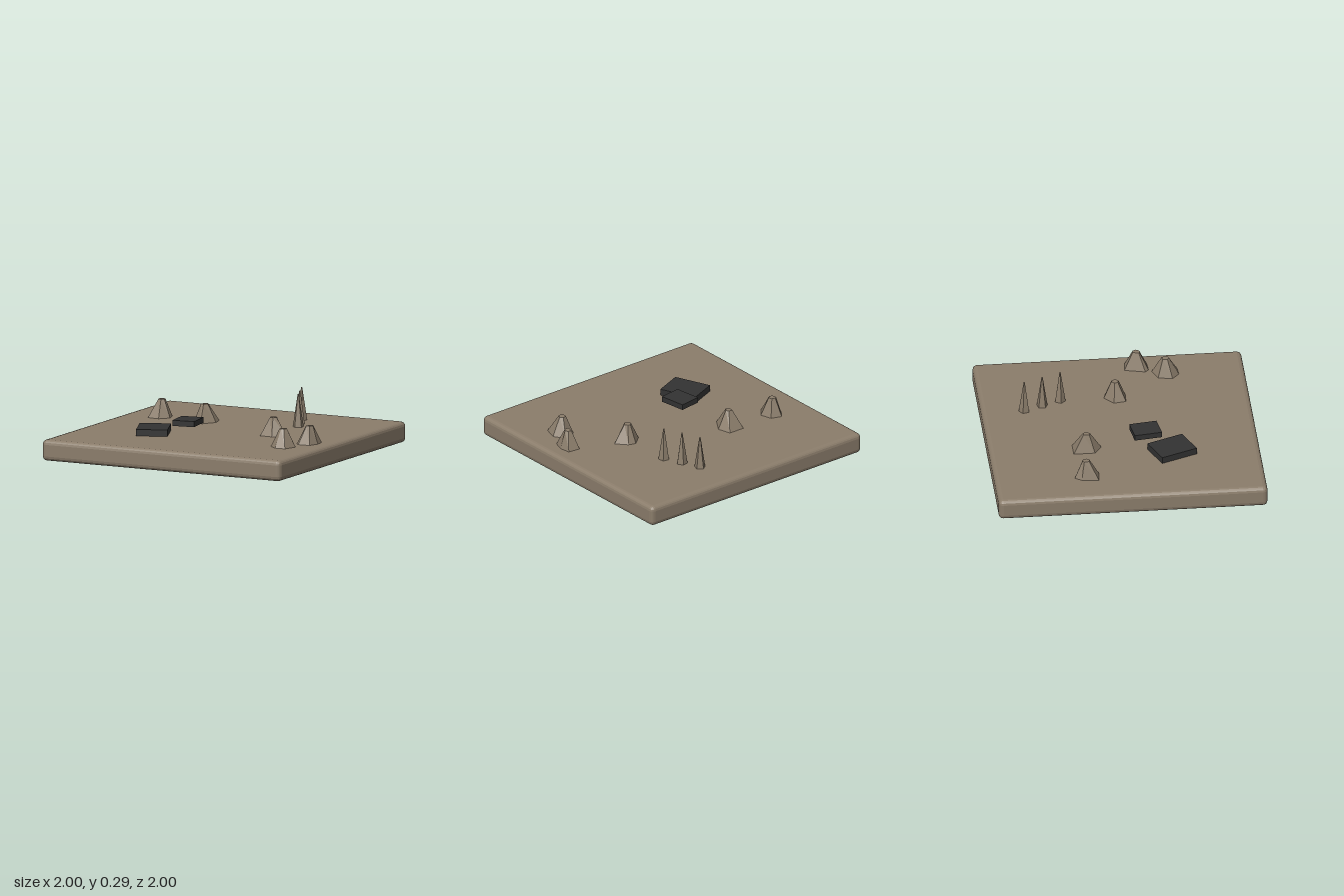
import * as THREE from 'three';
import { RoundedBoxGeometry } from 'three/addons/geometries/RoundedBoxGeometry.js';

const GROUND = 0.112;

// Flat-shaded frustum: uneven footprint [x, z] tapering to a small ring round the peak
function ventGeometry(peak, footprint, height, topRadius) {
  const n = footprint.length;
  const foot = footprint.map(([x, z]) => new THREE.Vector3(x, GROUND, z));
  const rim = footprint.map(([x, z]) => {
    const a = Math.atan2(z - peak[1], x - peak[0]);
    return new THREE.Vector3(peak[0] + topRadius * Math.cos(a), GROUND + height, peak[1] + topRadius * Math.sin(a));
  });
  const top = new THREE.Vector3(peak[0], GROUND + height, peak[1]);
  const points = [];
  for (let i = 0; i < n; i++) {
    const j = (i + 1) % n;
    points.push(foot[i], rim[i], rim[j], foot[i], rim[j], foot[j], top, rim[j], rim[i]);
  }
  const geometry = new THREE.BufferGeometry().setFromPoints(points);
  geometry.computeVertexNormals();
  return geometry;
}

export function createModel() {
  const group = new THREE.Group();
  const stone = new THREE.MeshStandardMaterial({ name: 'stone', color: 0x8b7d6b });
  const slate = new THREE.MeshStandardMaterial({ name: 'slate', color: 0x333333 });
  stone.flatShading = true;
  slate.flatShading = true;

  const add = (name, geometry, material, x = 0, y = 0, z = 0, turn = 0) => {
    const mesh = new THREE.Mesh(geometry, material);
    mesh.name = name;
    mesh.position.set(x, y, z);
    mesh.rotation.y = turn;
    group.add(mesh);
  };

  // Ground slab with softened edges, turned to a diamond
  const r = 0.025;
  const side = 2 * ((1 - r) / Math.SQRT2 + r);
  add('groundSlab', new RoundedBoxGeometry(side, GROUND, side, 2, r), stone, 0, GROUND / 2, 0, Math.PI / 4);

  // Dark plates, the smaller one raised level with the top of the larger
  add('largePlate', new THREE.BoxGeometry(0.167, 0.035, 0.208), slate, -0.38, 0.13, -0.03, -0.39);
  add('smallPlate', new THREE.BoxGeometry(0.122, 0.03, 0.148), slate, -0.193, 0.166, -0.022, -0.64);

  // Uneven rock vents: peak, then footprint clockwise seen from above
  const vents = [
    [[-0.187, -0.513], [[-0.267, -0.503], [-0.198, -0.561], [-0.155, -0.567], [-0.128, -0.513], [-0.16, -0.455], [-0.225, -0.449]]],
    [[-0.016, -0.3], [[-0.075, -0.3], [0.005, -0.38], [0.07, -0.315], [0.032, -0.25], [-0.06, -0.23]]],
    [[0.209, 0.214], [[0.134, 0.214], [0.171, 0.16], [0.246, 0.166], [0.267, 0.203], [0.262, 0.278], [0.182, 0.267]]],
    [[0.155, 0.567], [[0.091, 0.551], [0.155, 0.508], [0.225, 0.54], [0.209, 0.61], [0.139, 0.647], [0.096, 0.61]]],
    [[0.315, 0.519], [[0.246, 0.513], [0.342, 0.455], [0.385, 0.508], [0.348, 0.556], [0.294, 0.583], [0.246, 0.54]]],
  ];
  for (const [peak, footprint] of vents) add('rockVent', ventGeometry(peak, footprint, 0.096, 0.02), stone);

  // Row of slender spires
  for (let i = 0; i < 3; i++) {
    add('spire', new THREE.CylinderGeometry(0.003, 0.03, 0.176, 5), stone,
      0.41 + 0.04 * i, GROUND + 0.088, -0.1 * i, i * 0.4 + 0.3);
  }
  return group;
}
